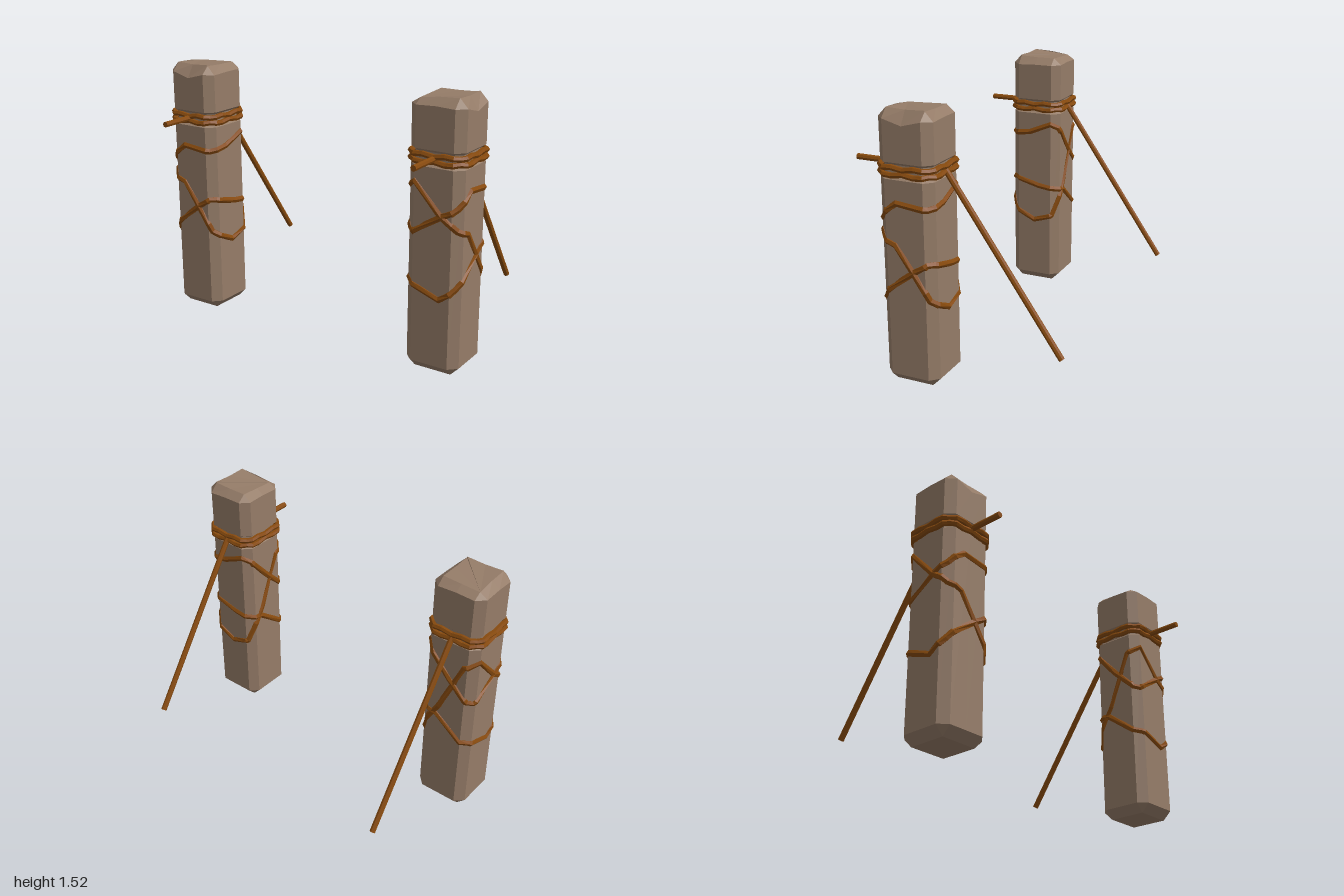
import * as THREE from 'three';

const HALF = 0.16;   // half width of a post
const FLAT = 0.112;  // half width of the flat part of each face

// Skin a stack of equal loops; optionally join last to first, or cap the ends.
function loft(loops, joined, capped) {
  const n = loops[0].length, m = loops.length, idx = [];
  for (let i = 0; i < (joined ? m : m - 1); i++) {
    const a = i * n, b = ((i + 1) % m) * n;
    for (let j = 0; j < n; j++) {
      const k = (j + 1) % n;
      idx.push(a + j, a + k, b + k, a + j, b + k, b + j);
    }
  }
  if (capped) {
    const t = (m - 1) * n;
    for (let j = 1; j < n - 1; j++) {
      idx.push(0, j + 1, j);
      idx.push(t, t + j, t + j + 1);
    }
  }
  const g = new THREE.BufferGeometry().setFromPoints(loops.flat());
  g.setIndex(idx);
  const flat = g.toNonIndexed();   // faceted look
  flat.computeVertexNormals();
  return flat;
}

// Point on the chamfered square outline. s runs 0..4: -x, +z, +x, -z faces.
function outline(s, y, out = 0) {
  const face = Math.floor(s), u = s - face - 0.5;
  const e = Math.max(0, Math.abs(u) - 0.35);
  const tang = e > 0 ? Math.sign(u) * (FLAT + e * HALF) : u * 2 * HALF;
  const p = new THREE.Vector3(tang, y, HALF - e * HALF);
  p.x *= 1 + out / HALF;
  p.z *= 1 + out / HALF;
  return p.applyAxisAngle(new THREE.Vector3(0, 1, 0), (face - 1) * Math.PI / 2);
}

// Height at s, interpolated around a closed list of [s, y] keys.
function heightAt(keys, s) {
  const all = [...keys.map(([a, y]) => [a - 4, y]), ...keys, ...keys.map(([a, y]) => [a + 4, y])];
  const i = all.findIndex(([a]) => a > s);
  const [a, ya] = all[i - 1], [b, yb] = all[i];
  return ya + (yb - ya) * (s - a) / (b - a);
}

// Closed rope hugging the post through the given keys.
function wrap(keys, radius, out) {
  const stops = keys.map(k => k[0]);
  for (let f = 0; f < 4; f++) stops.push(f + 0.15, f + 0.85);
  const path = [...new Set(stops)].sort((a, b) => a - b).map(s => outline(s, heightAt(keys, s), out));
  const loops = path.map((p, i) => {
    const prev = path[(i + path.length - 1) % path.length], next = path[(i + 1) % path.length];
    const t = next.clone().sub(p).normalize().add(p.clone().sub(prev).normalize()).normalize();
    const n = new THREE.Vector3(p.x, 0, p.z);
    n.addScaledVector(t, -n.dot(t)).normalize();
    const side = t.clone().cross(n);
    return Array.from({ length: 6 }, (_, k) => {
      const a = k * Math.PI / 3;
      return p.clone().addScaledVector(n, radius * Math.cos(a)).addScaledVector(side, radius * Math.sin(a));
    });
  });
  return loft(loops, true, false);
}

// Hewn timber with bevelled ends, a rope groove and a chipped top.
function postGeometry() {
  const stops = [];
  for (let f = 0; f < 4; f++) stops.push(f + 0.15, f + 0.5, f + 0.85);
  const ring = (y, out, limit = 1) => stops.map((s, i) => {
    const p = outline(s, Array.isArray(y) ? y[i] : y, out);
    p.x = THREE.MathUtils.clamp(p.x, -limit, limit);
    p.z = THREE.MathUtils.clamp(p.z, -limit, limit);
    return p;
  });
  const shoulder = [1.47, 1.475, 1.47, 1.47, 1.44, 1.47, 1.465, 1.47, 1.47, 1.47, 1.475, 1.47];
  const crown = [1.5, 1.515, 1.52, 1.52, 1.515, 1.52, 1.515, 1.51, 1.51, 1.51, 1.505, 1.5];
  return loft([
    ring(0, 0, 0.11), ring(0.05, 0), ring(1.155, 0), ring(1.17, -0.018),
    ring(1.23, -0.018), ring(1.245, 0), ring(shoulder, 0), ring(crown, 0, 0.113),
  ], false, true);
}

// Three crossing bindings around the shaft.
const BINDINGS = [
  [[0.15, 1.07], [0.66, 0.9], [1, 0.83], [1.3, 0.8], [1.63, 0.66], [1.95, 0.51],
    [2.5, 0.43], [2.9, 0.47], [3.35, 0.7], [3.8, 1.03]],
  [[0.1, 0.79], [0.66, 0.9], [1, 0.95], [1.35, 1.03], [1.95, 1.01],
    [2.4, 1.03], [2.85, 1.09], [3.1, 1.06], [3.5, 0.92], [3.9, 0.8]],
  [[0.1, 0.5], [0.3, 0.48], [0.66, 0.44], [1, 0.51], [1.63, 0.66], [1.9, 0.71],
    [2.1, 0.71], [2.6, 0.67], [3.3, 0.64], [3.85, 0.51]],
];

// Straight rope between two points.
function stay(a, b, radius, mat) {
  const d = b.clone().sub(a);
  const g = new THREE.CylinderGeometry(radius, radius, d.length(), 8).toNonIndexed();
  g.computeVertexNormals();
  const mesh = new THREE.Mesh(g, mat);
  mesh.position.copy(a).add(b).multiplyScalar(0.5);
  mesh.quaternion.setFromUnitVectors(new THREE.Vector3(0, 1, 0), d.normalize());
  return mesh;
}

export function createModel() {
  const wood = new THREE.MeshStandardMaterial({ color: 0x957c68 });
  wood.name = 'weathered wood';
  const rope = new THREE.MeshStandardMaterial({ color: 0x874a0e });
  rope.name = 'brown rope';

  const model = new THREE.Group();
  model.name = 'ropePosts';
  const add = (parent, mesh, name) => { mesh.name = name; parent.add(mesh); };

  for (const side of [-1, 1]) {
    const unit = new THREE.Group();
    unit.name = side < 0 ? 'rightPost' : 'leftPost';
    unit.position.set(side * 0.82, 0, 0.23);
    model.add(unit);

    // Timber and bindings; the second post is turned a quarter
    const shaft = new THREE.Group();
    shaft.name = 'boundShaft';
    shaft.rotation.y = side < 0 ? 0 : Math.PI / 2;
    unit.add(shaft);
    add(shaft, new THREE.Mesh(postGeometry(), wood), 'timber');
    BINDINGS.forEach((keys, i) =>
      add(shaft, new THREE.Mesh(wrap(keys, 0.02, -0.007), rope), 'binding' + (i + 1)));

    // Two wavering turns of rope in the groove
    for (const v of [-1, 1]) {
      const keys = [];
      for (let f = 0; f < 4; f++) {
        [[0, 0.014], [0.3, 0.022], [0.5, 0.012], [0.7, 0.022]]
          .forEach(([u, dy]) => keys.push([f + u, 1.2 + v * dy]));
      }
      add(unit, new THREE.Mesh(wrap(keys, 0.016, 0.002), rope), v < 0 ? 'lowerTurn' : 'upperTurn');
    }

    // Straight ropes leading forward, and back down to the ground
    add(unit, stay(new THREE.Vector3(0, 1.203, 0.14), new THREE.Vector3(0, 1.203, 0.37), 0.017, rope), 'frontRope');
    add(unit, stay(new THREE.Vector3(0, 1.2, -0.155), new THREE.Vector3(0, 0.25, -0.815), 0.017, rope), 'backRope');
  }
  return model;
}
